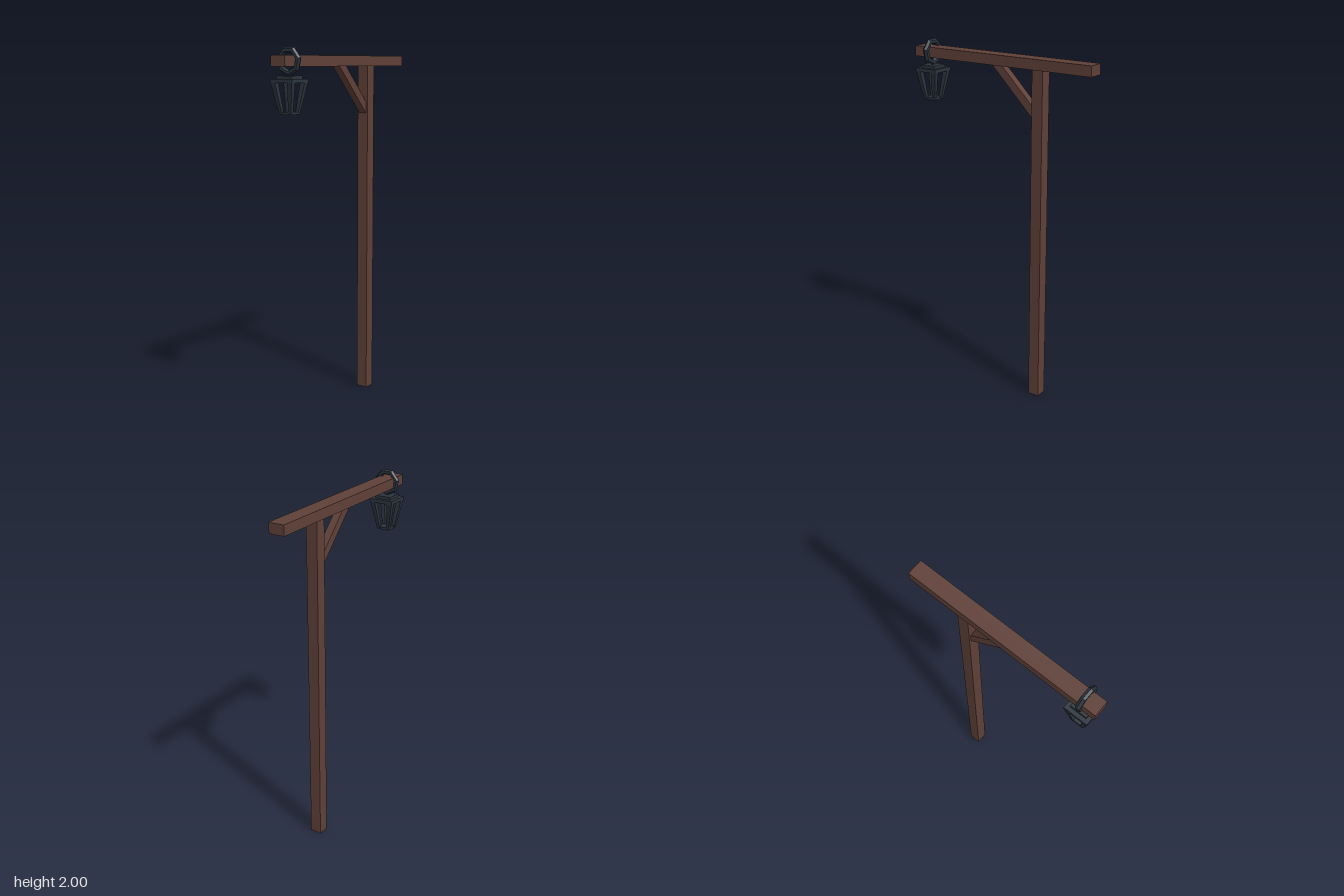
import * as THREE from 'three';

export function createModel() {
  const model = new THREE.Group();
  model.name = 'lanternPost';
  const wood = new THREE.MeshStandardMaterial({ color: 0x5f4038, flatShading: true });
  wood.name = 'brown wood';
  const iron = new THREE.MeshStandardMaterial({ color: 0x2b343e, flatShading: true });
  iron.name = 'dark iron';

  const add = (parent, name, geometry, material, x = 0, y = 0, z = 0) => {
    const mesh = new THREE.Mesh(geometry, material);
    mesh.name = name;
    mesh.position.set(x, y, z);
    parent.add(mesh);
    return mesh;
  };

  // Timber post and overhanging beam
  add(model, 'post', new THREE.BoxGeometry(0.066, 1.905, 0.066), wood, -0.002, 0.9525, -0.243);
  add(model, 'beam', new THREE.BoxGeometry(0.09, 0.057, 1.135), wood, -0.003, 1.932, -0.002);

  // Diagonal brace, mitred against post and beam
  const profile = new THREE.Shape([[-0.215, 1.635], [-0.215, 1.7], [-0.01, 1.905], [0.055, 1.905]]
    .map(([z, y]) => new THREE.Vector2(z, y)));
  const brace = new THREE.ExtrudeGeometry(profile, { depth: 0.044, bevelEnabled: false });
  brace.translate(0, 0, -0.022).rotateY(-Math.PI / 2);
  add(model, 'brace', brace, wood, -0.002);

  // Lantern hanging from a seven-sided ring around the beam
  const lantern = new THREE.Group();
  lantern.name = 'lantern';
  lantern.position.z = 0.476;
  model.add(lantern);
  const ring = new THREE.TorusGeometry(0.0605, 0.016, 6, 7).rotateZ(-Math.PI / 2);
  add(lantern, 'hangingRing', ring, iron, 0, 1.931, 0);
  add(lantern, 'capTop', new THREE.BoxGeometry(0.095, 0.02, 0.095), iron, 0, 1.848, 0);
  add(lantern, 'capRim', new THREE.BoxGeometry(0.138, 0.02, 0.138), iron, 0, 1.832, 0);
  add(lantern, 'basePlate', new THREE.BoxGeometry(0.074, 0.014, 0.074), iron, 0, 1.669, 0);

  // Four corner bars that lean inward and taper towards the base
  const top = 1.826, bottom = 1.664;
  for (const sx of [-1, 1]) for (const sz of [-1, 1]) {
    const bar = new THREE.BoxGeometry(1, 1, 1);
    const p = bar.attributes.position;
    for (let i = 0; i < p.count; i++) {
      const high = p.getY(i) > 0;
      const centre = high ? 0.054 : 0.029;
      const width = high ? 0.029 : 0.018;
      p.setXYZ(i, sx * centre + p.getX(i) * width, high ? top : bottom, sz * centre + p.getZ(i) * width);
    }
    bar.computeVertexNormals();
    add(lantern, 'cornerBar', bar, iron);
  }
  return model;
}
